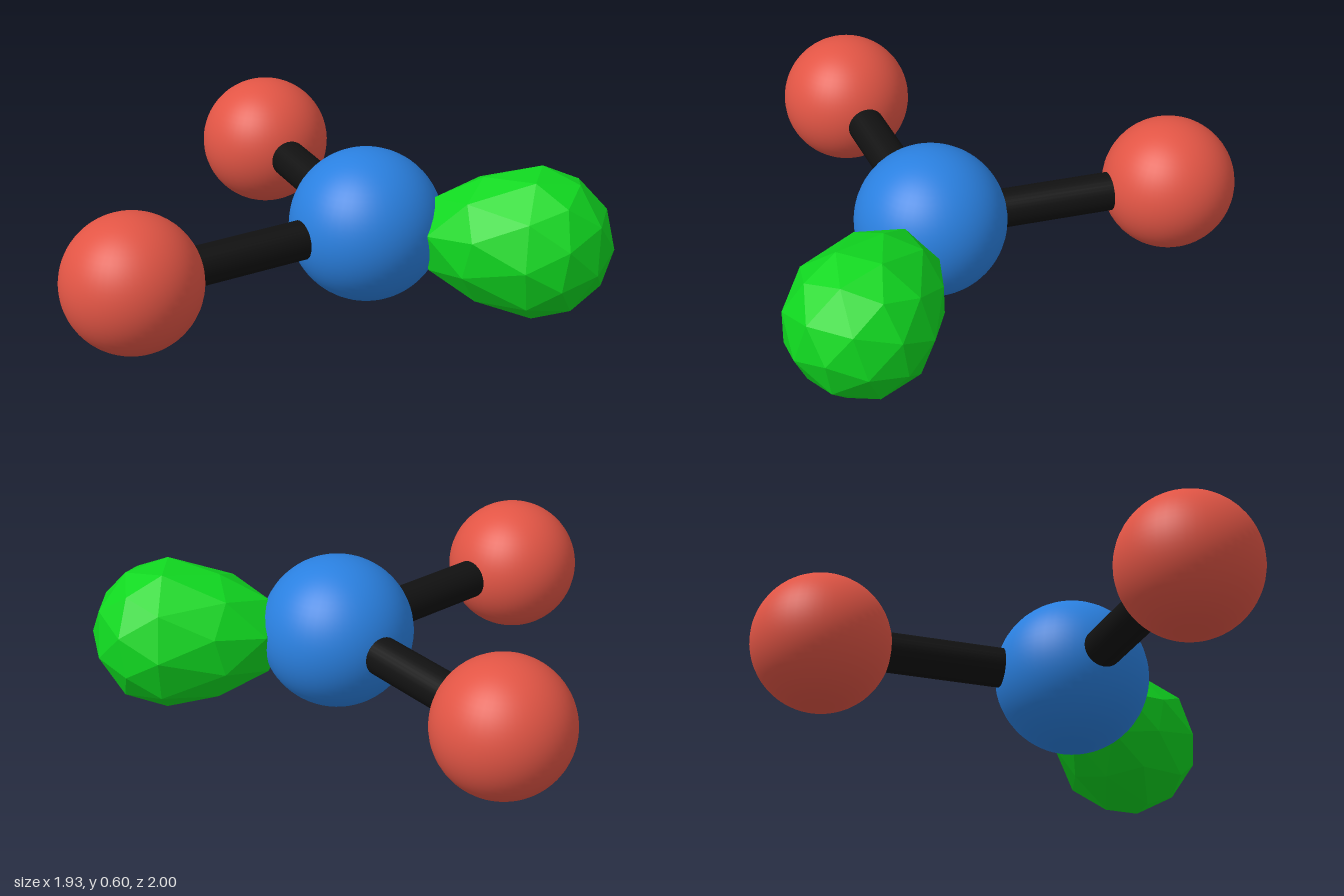
import * as THREE from 'three';

const material = (color, flatShading = false) => {
  const m = new THREE.MeshStandardMaterial({ color });
  m.flatShading = flatShading;
  return m;
};

export function createModel() {
  const group = new THREE.Group();
  const red = material(0xe25545);
  const black = material(0x111111);

  function add(name, geometry, mat, position) {
    const mesh = new THREE.Mesh(geometry, mat);
    mesh.name = name;
    mesh.position.copy(position);
    group.add(mesh);
    return mesh;
  }

  // Central ball
  const center = new THREE.Vector3(0.005, 0.305, 0.035);
  add('centerBall', new THREE.SphereGeometry(0.3, 48, 32), material(0x2a80e0), center);

  // Two outer balls, each joined to the centre by a rod
  const outer = {
    back: new THREE.Vector3(-0.615, 0.305, -0.735),
    front: new THREE.Vector3(-0.705, 0.305, 0.735),
  };
  const up = new THREE.Vector3(0, 1, 0);
  for (const [side, position] of Object.entries(outer)) {
    add(side + 'Ball', new THREE.SphereGeometry(0.265, 48, 32), red, position);
    const span = position.clone().sub(center);
    const rod = add(side + 'Rod', new THREE.CylinderGeometry(0.077, 0.077, span.length(), 32),
      black, center.clone().addScaledVector(span, 0.5));
    rod.quaternion.setFromUnitVectors(up, span.normalize());
  }

  // Faceted lobe: low-poly ball with a corner on +x, its inner half drawn out towards the centre
  const lobe = new THREE.IcosahedronGeometry(0.295, 1);
  lobe.rotateY(Math.atan(2 / (1 + Math.sqrt(5))));
  lobe.rotateX(-Math.PI / 2);
  const p = lobe.attributes.position;
  for (let i = 0; i < p.count; i++) {
    const x = p.getX(i);
    if (x < -0.01) p.setXYZ(i, x * 1.6, p.getY(i) * 0.95, p.getZ(i) * 0.95);
  }
  lobe.computeVertexNormals();
  add('facetedLobe', lobe, material(0x10d820, true), new THREE.Vector3(0.67, 0.288, 0.025));

  return group;
}
